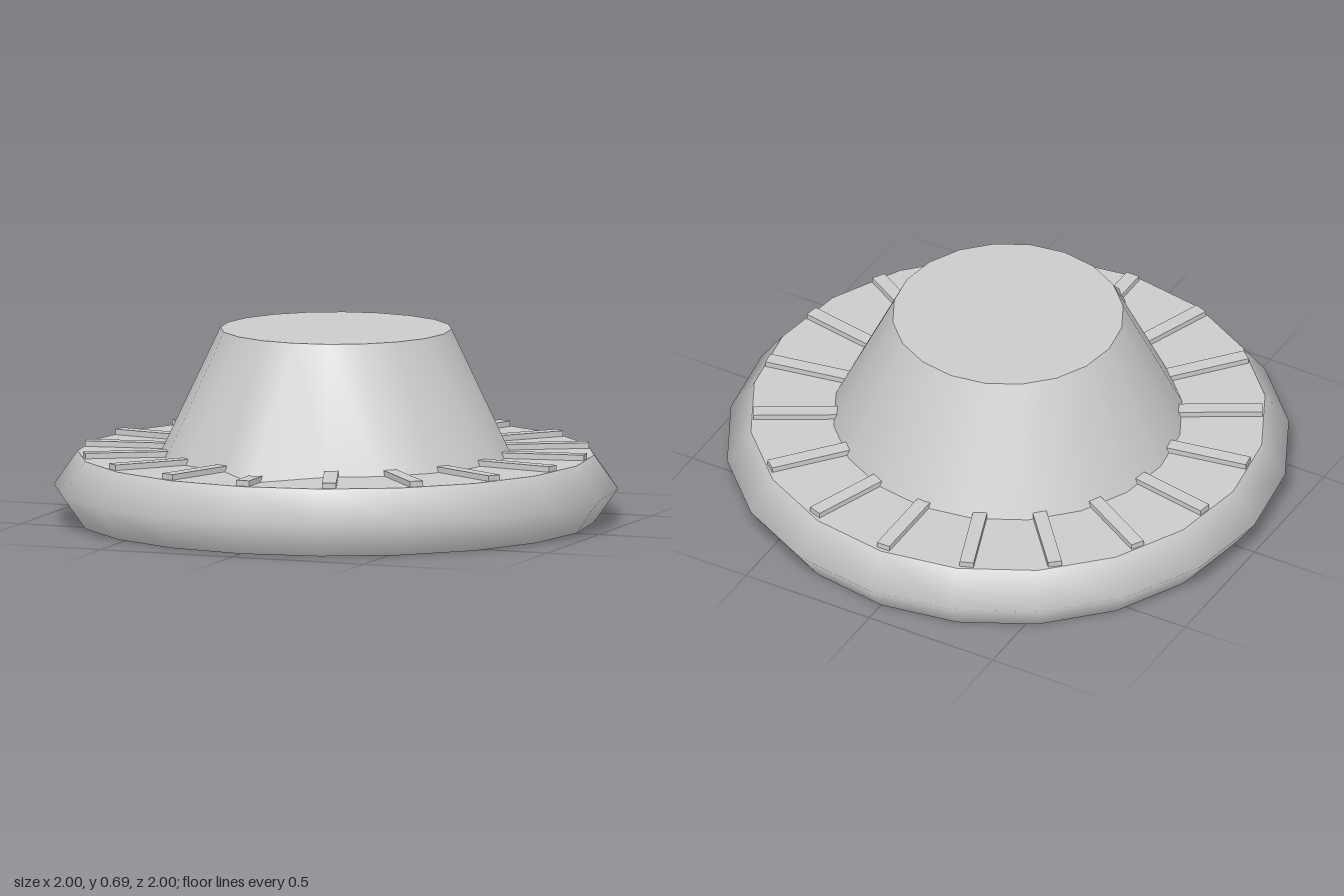
import * as THREE from 'three';

const SIDES = 20;
const DECK = 0.24, TOP = 0.685;
const grey = new THREE.MeshStandardMaterial({ color: 0xcccccc });

function add(parent, name, geometry) {
  const mesh = new THREE.Mesh(geometry, grey);
  mesh.name = name;
  parent.add(mesh);
  return mesh;
}

// Flat horizontal disc facing up (dir = 1) or down (dir = -1)
function disc(radius, y, dir) {
  return new THREE.CircleGeometry(radius, SIDES).rotateX(-dir * Math.PI / 2).translate(0, y, 0);
}

// Tapered knob wall whose front bottom vertex is pulled out into a pointer
function knobWall(topRadius, bottomRadius, pointerReach) {
  const positions = [], index = [];
  for (let i = 0; i < SIDES; i++) {
    const a = (i / SIDES) * Math.PI * 2;
    const r = i === 0 ? pointerReach : bottomRadius;
    positions.push(Math.sin(a) * topRadius, TOP, Math.cos(a) * topRadius);
    positions.push(Math.sin(a) * r, DECK, Math.cos(a) * r);
  }
  for (let i = 0; i < SIDES; i++) {
    const t0 = i * 2, b0 = t0 + 1;
    const t1 = ((i + 1) % SIDES) * 2, b1 = t1 + 1;
    // diagonals mirror left to right so the pointer stays symmetric
    if (i < SIDES / 2) index.push(t0, b0, b1, t0, b1, t1);
    else index.push(t0, b0, t1, t1, b0, b1);
  }
  const geometry = new THREE.BufferGeometry();
  geometry.setAttribute('position', new THREE.Float32BufferAttribute(positions, 3));
  geometry.setIndex(index);
  geometry.computeVertexNormals();
  return geometry;
}

export function createModel() {
  const model = new THREE.Group();
  model.name = 'dialKnob';

  // Base plate with a bevelled rim
  const base = new THREE.Group();
  base.name = 'base';
  model.add(base);
  const rim = [[0.915, 0], [1, 0.12], [0.915, DECK]].map(([x, y]) => new THREE.Vector2(x, y));
  add(base, 'baseRim', new THREE.LatheGeometry(rim, SIDES));
  add(base, 'baseDeck', disc(0.915, DECK, 1));
  add(base, 'baseUnderside', disc(0.915, 0, -1));

  // Knob with pointer
  const knob = new THREE.Group();
  knob.name = 'knob';
  model.add(knob);
  add(knob, 'knobWall', knobWall(0.41, 0.62, 0.82));
  add(knob, 'knobTop', disc(0.41, TOP, 1));

  // Ring of raised tick marks
  const ticks = new THREE.Group();
  ticks.name = 'tickMarks';
  model.add(ticks);
  const tickGeometry = new THREE.BoxGeometry(0.05, 0.04, 0.31).translate(0, DECK, 0.745);
  const TICKS = 18;
  for (let i = 0; i < TICKS; i++) {
    add(ticks, 'tickMark', tickGeometry).rotation.y = (i / TICKS) * Math.PI * 2;
  }
  return model;
}
